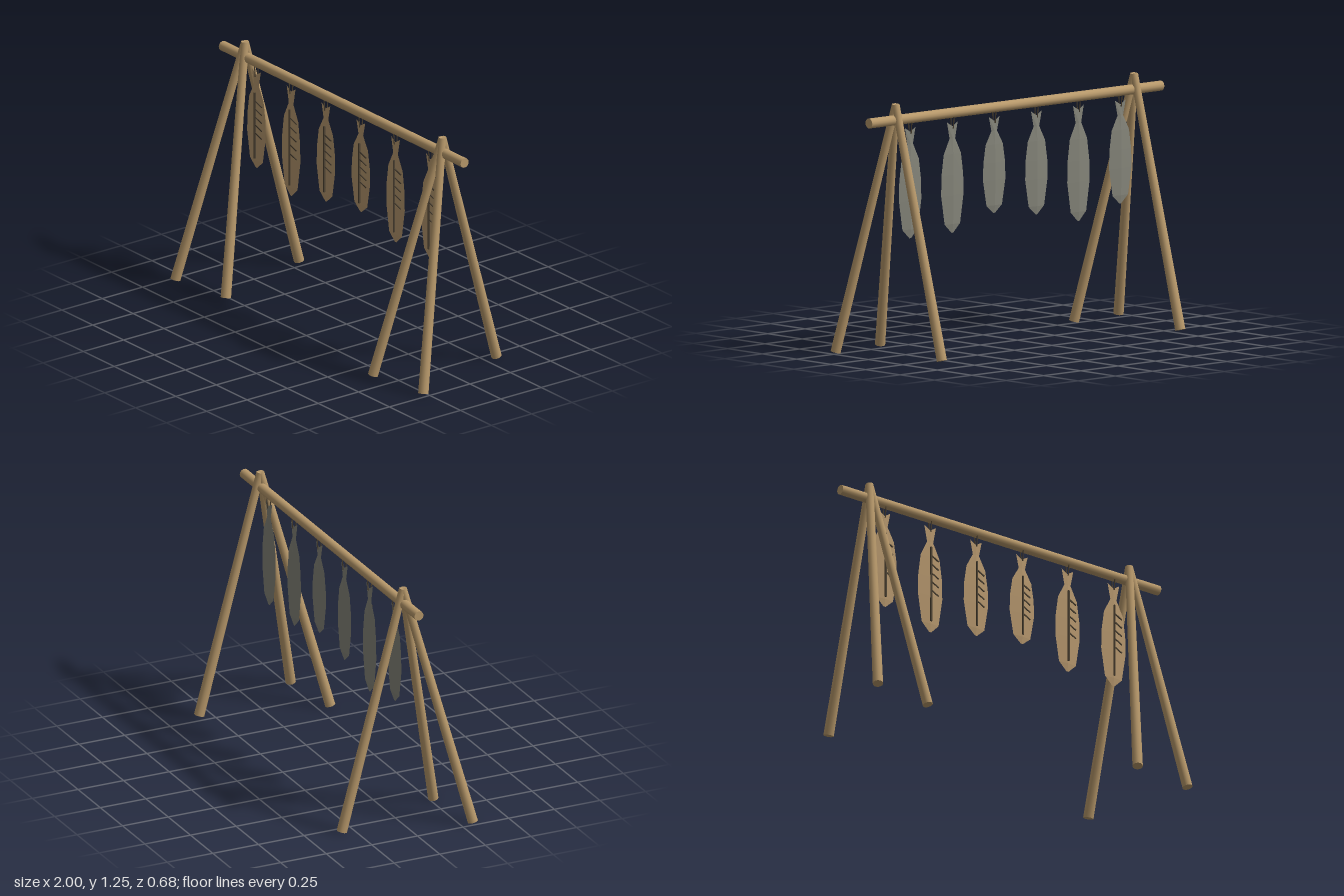
import * as THREE from 'three';

const paint = (name, color, side = THREE.FrontSide) => {
  const m = new THREE.MeshStandardMaterial({ color, side });
  m.name = name;
  return m;
};

const BAR_Y = 1.17, BAR_Z = 0.018, FISH_TOP = 1.125;

// Fish outline from tail to snout: [fraction of length, half width, relative bulge]
const PROFILE = [
  [0, 0.036, 0.1], [0.15, 0.019, 0.4], [0.29, 0.058, 0.8], [0.48, 0.073, 1],
  [0.66, 0.075, 1], [0.92, 0.052, 0.7], [1, 0.006, 0.1],
];

// One half of a fish: a faceted sheet swelling from a flat rim to a centre ridge
function fishSide(length, bulge) {
  const points = [], index = [];
  PROFILE.forEach(([t, w, b], i) => {
    const y = -t * length;
    points.push(-w, y, 0, 0, i === 0 ? y - 0.022 : y, bulge * b, w, y, 0);
  });
  for (let i = 0; i < PROFILE.length - 1; i++) {
    for (let j = 0; j < 2; j++) {
      const a = i * 3 + j, b = a + 1, c = a + 3, d = a + 4;
      if (bulge > 0) index.push(a, c, b, b, c, d);
      else index.push(a, b, c, b, d, c);
    }
  }
  const g = new THREE.BufferGeometry();
  g.setAttribute('position', new THREE.Float32BufferAttribute(points, 3));
  g.setIndex(index);
  const flat = g.toNonIndexed();
  flat.computeVertexNormals();
  return flat;
}

export function createModel() {
  const root = new THREE.Group();
  root.name = 'fishDryingRack';
  const wood = paint('wood', 0xb8996b);
  const flesh = paint('driedFlesh', 0xb8996f);
  const skin = paint('greySkin', 0x85857a);
  const dark = paint('darkBoneAndCord', 0x4f4434);

  const add = (parent, name, geometry, material, x = 0, y = 0, z = 0) => {
    const mesh = new THREE.Mesh(geometry, material);
    mesh.name = name;
    mesh.position.set(x, y, z);
    parent.add(mesh);
    return mesh;
  };

  // Tapered pole between two points
  const pole = (parent, name, from, to, rFrom, rTo, material, sides = 12) => {
    const a = new THREE.Vector3(...from), b = new THREE.Vector3(...to);
    const dir = b.clone().sub(a);
    const mesh = add(parent, name, new THREE.CylinderGeometry(rTo, rFrom, dir.length(), sides), material);
    mesh.position.copy(a).add(b).multiplyScalar(0.5);
    mesh.quaternion.setFromUnitVectors(new THREE.Vector3(0, 1, 0), dir.normalize());
    return mesh;
  };

  // Two tripods with the same uneven spread
  for (const x of [-0.8, 0.8]) {
    const tripod = new THREE.Group();
    tripod.name = x > 0 ? 'leftTripod' : 'rightTripod';
    root.add(tripod);
    [[-0.172, 0.317], [0.172, 0.268], [0, -0.317]].forEach(([dx, z], i) =>
      pole(tripod, `leg${i + 1}`, [x + dx, 0.007, z], [x, 1.246, BAR_Z], 0.026, 0.02, wood));
  }

  // Crossbar
  pole(root, 'crossbar', [-0.98, BAR_Y, BAR_Z], [0.98, BAR_Y, BAR_Z], 0.025, 0.025, wood, 14);

  // Split fish: [x, length]
  const fishes = [[-0.707, 0.515], [-0.426, 0.575], [-0.144, 0.515], [0.139, 0.48], [0.42, 0.552], [0.703, 0.552]];
  fishes.forEach(([x, length], n) => {
    const fish = new THREE.Group();
    fish.name = `fish${n + 1}`;
    fish.position.set(x, FISH_TOP, BAR_Z);
    root.add(fish);
    add(fish, 'fleshSide', fishSide(length, 0.007), flesh);
    add(fish, 'skinSide', fishSide(length, -0.009), skin);

    // Backbone and the ribs along one side
    const spineTop = -0.115, spineLength = length * 0.9 - 0.115;
    add(fish, 'backbone', new THREE.BoxGeometry(0.008, spineLength, 0.008), dark,
      0, spineTop - spineLength / 2, 0.01);
    for (let i = 0; i < 5; i++) {
      const rib = add(fish, `rib${i + 1}`, new THREE.BoxGeometry(0.05, 0.006, 0.006), dark,
        0.026, -0.17 - i * length * 0.082, 0.0055);
      rib.rotation.set(0, 0.09, -0.4);
    }

    // Pair of cords tying the tail to the crossbar
    for (const s of [-1, 1]) {
      pole(fish, s > 0 ? 'frontCord' : 'backCord', [0, -0.032, s * 0.007], [0, 0.035, s * 0.013],
        0.003, 0.003, dark, 6);
    }
  });

  return root;
}
